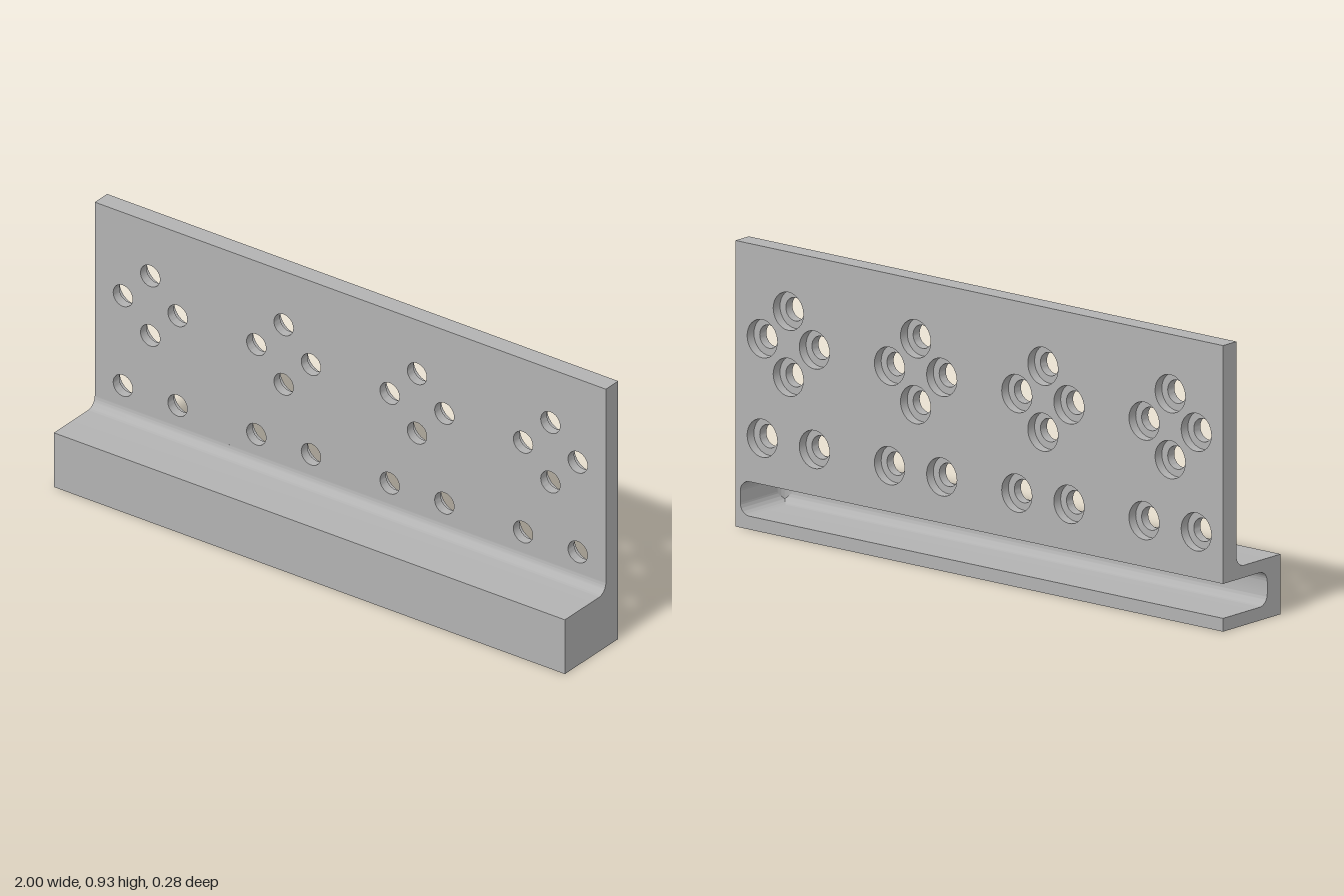
import * as THREE from 'three';
import { toCreasedNormals } from 'three/addons/utils/BufferGeometryUtils.js';

const BACK = -0.14, FRONT = 0.14, WALL_FRONT = -0.075, BORE_FLOOR = -0.107;
const HEIGHT = 0.928, BASE_TOP = 0.195, STUB_TOP = 0.232;
const SLOT = { low: 0.043, high: 0.155, deep: 0.075, end: 0.98, r: 0.037 };

export function createModel() {
  const group = new THREE.Group();
  const metal = new THREE.MeshStandardMaterial({ color: 0xb2b2b2 });
  metal.name = 'grey metal';

  function extrude(shape, depth) {
    const g = new THREE.ExtrudeGeometry(shape, { depth, bevelEnabled: false, curveSegments: 16 });
    return toCreasedNormals(g, 0.5);
  }
  function add(name, geometry) {
    const mesh = new THREE.Mesh(geometry, metal);
    mesh.name = name;
    group.add(mesh);
  }

  // Foot cross-section (z, y), with a fillet up to the wall and an optional rear slot
  function footProfile(slotted) {
    const s = new THREE.Shape();
    const f = STUB_TOP - BASE_TOP;
    s.moveTo(BACK, 0);
    s.lineTo(FRONT, 0);
    s.lineTo(FRONT, BASE_TOP);
    s.lineTo(WALL_FRONT + f, BASE_TOP);
    s.absarc(WALL_FRONT + f, STUB_TOP, f, -Math.PI / 2, -Math.PI, true);
    s.lineTo(BACK, STUB_TOP);
    if (slotted) {
      const { low, high, deep, r } = SLOT;
      s.lineTo(BACK, high);
      s.lineTo(deep - r, high);
      s.absarc(deep - r, high - r, r, Math.PI / 2, 0, true);
      s.absarc(deep - r, low + r, r, 0, -Math.PI / 2, true);
      s.lineTo(BACK, low);
    }
    s.closePath();
    return s;
  }
  function foot(name, slotted, x0, x1) {
    add(name, extrude(footProfile(slotted), x1 - x0).rotateY(-Math.PI / 2).translate(x1, 0, 0));
  }
  foot('slottedFoot', true, -1, SLOT.end);
  foot('footEnd', false, SLOT.end, 1);

  // Rounded corners where the slot stops
  function cornerShape(sy) {
    const s = new THREE.Shape();
    const r = SLOT.r;
    s.moveTo(0, 0);
    s.lineTo(-r, 0);
    s.absarc(-r, sy * r, r, -sy * Math.PI / 2, 0, sy < 0);
    s.closePath();
    return s;
  }
  const depth = SLOT.deep - BACK;
  add('slotCornerLower', extrude(cornerShape(1), depth).translate(SLOT.end, SLOT.low, BACK));
  add('slotCornerUpper', extrude(cornerShape(-1), depth).translate(SLOT.end, SLOT.high, BACK));
  add('slotCornerInner', extrude(cornerShape(-1), SLOT.high - SLOT.low)
    .rotateX(Math.PI / 2).translate(SLOT.end, SLOT.high, SLOT.deep));

  // Wall in two layers: through holes in front, wider counterbores behind
  const pattern = [[0, 0.735], [-0.107, 0.628], [0.107, 0.628], [0, 0.521], [-0.107, 0.305], [0.107, 0.305]];
  function wallLayer(name, radius, z0, z1) {
    const s = new THREE.Shape();
    s.moveTo(-1, STUB_TOP);
    s.lineTo(1, STUB_TOP);
    s.lineTo(1, HEIGHT);
    s.lineTo(-1, HEIGHT);
    s.closePath();
    for (const cx of [-0.783, -0.261, 0.261, 0.783]) {
      for (const [dx, y] of pattern) {
        s.holes.push(new THREE.Path().absarc(cx + dx, y, radius, 0, Math.PI * 2, true));
      }
    }
    add(name, extrude(s, z1 - z0).translate(0, 0, z0));
  }
  wallLayer('wallFront', 0.038, BORE_FLOOR, WALL_FRONT);
  wallLayer('wallBack', 0.062, BACK, BORE_FLOOR);

  return group;
}
